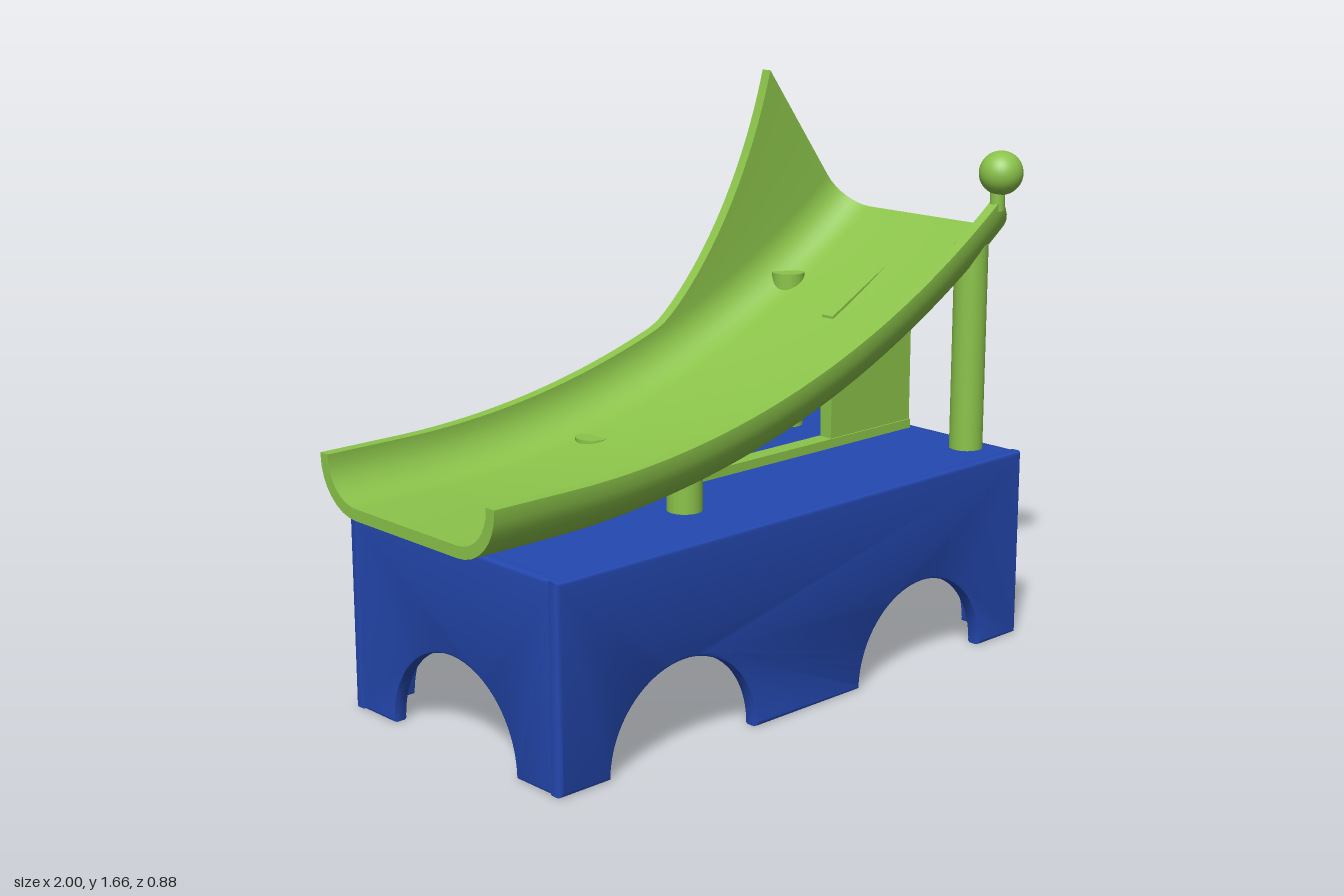
import * as THREE from 'three';
import { toCreasedNormals } from 'three/addons/utils/BufferGeometryUtils.js';

const green = new THREE.MeshStandardMaterial({ color: 0x8bc34a });
green.name = 'leaf green';
const blue = new THREE.MeshStandardMaterial({ color: 0x2448b0 });
blue.name = 'deep blue';

function add(parent, name, geometry, material, x = 0, y = 0, z = 0) {
  const mesh = new THREE.Mesh(geometry, material);
  mesh.name = name;
  mesh.position.set(x, y, z);
  parent.add(mesh);
  return mesh;
}

// Upright panel with semicircular arches cut from its lower edge
function archPanel(width, height, centres, radius, thick) {
  const b = 0.01, w = width / 2;
  const s = new THREE.Shape();
  s.moveTo(-w, 0);
  for (const c of centres) {
    s.lineTo(c - radius, 0);
    s.absarc(c, 0, radius, Math.PI, 0, true);
  }
  s.lineTo(w, 0);
  s.lineTo(w, height);
  s.lineTo(-w, height);
  s.closePath();
  const g = new THREE.ExtrudeGeometry(s, {
    depth: thick - 2 * b, bevelThickness: b, bevelSize: b, bevelOffset: -b,
    bevelSegments: 2, curveSegments: 28,
  });
  g.translate(0, 0, b - thick / 2);
  return toCreasedNormals(g, 0.5);
}

// Slide curve: straight run, then a circular arc rising toward +x
const R = 2.91, ARC_X = -0.75, ARC_Y = 0.615 + R, END = 0.645, FLARE = 0.35;

// Channel swept along the curve; the back wall flares upward near the top
function slideGeometry() {
  const half = 0.367, r = 0.15, t = 0.033, rim = 0.157, steps = 8;
  const side = (rad) => {
    const pts = [[half - r + rad, rim, 1]];
    for (let i = 0; i <= steps; i++) {
      const a = (i / steps) * Math.PI / 2;
      pts.push([half - r + rad * Math.cos(a), r - rad * Math.sin(a), 0]);
    }
    return pts;
  };
  const profile = (rad) => {
    const p = side(rad);
    return [...p, ...p.slice().reverse().map(([z, n, top]) => [-z, n, top])];
  };
  const ring = [...profile(r), ...profile(r - t).reverse()];
  const N = ring.length, M = 48;
  const pos = [], idx = [];
  for (let i = 0; i <= M; i++) {
    const a = i === 0 ? 0 : ((i - 1) / (M - 1)) * END;
    const x0 = i === 0 ? -1 : ARC_X;
    const extra = 0.425 * Math.pow(Math.max(0, (a - FLARE) / (END - FLARE)), 1.25);
    for (const [z, n, top] of ring) {
      const d = R - n - (top && z < 0 ? extra : 0);
      pos.push(x0 + d * Math.sin(a), ARC_Y - d * Math.cos(a), z);
    }
  }
  for (let i = 0; i < M; i++) {
    for (let j = 0; j < N; j++) {
      const k = (j + 1) % N, p = i * N, q = p + N;
      idx.push(p + j, p + k, q + j, p + k, q + k, q + j);
    }
  }
  // end faces
  const e = M * N;
  for (let j = 0; j < N / 2 - 1; j++) {
    const o = j, o2 = j + 1, n = N - 1 - j, n2 = N - 2 - j;
    idx.push(o, n, o2, o2, n, n2);
    idx.push(e + o, e + o2, e + n, e + o2, e + n2, e + n);
  }
  const g = new THREE.BufferGeometry();
  g.setAttribute('position', new THREE.Float32BufferAttribute(pos, 3));
  g.setIndex(idx);
  return toCreasedNormals(g, 0.6);
}

export function createModel() {
  const model = new THREE.Group();
  model.name = 'slide';

  // Hollow arched base
  const base = new THREE.Group();
  base.name = 'base';
  base.position.x = 0.04;
  model.add(base);
  const W = 1.81, D = 0.88, H = 0.57, T = 0.045;
  for (const s of [1, -1]) {
    add(base, s > 0 ? 'frontWall' : 'backWall',
      archPanel(W, H, [-0.47, 0.47], 0.262, T), blue, 0, 0, s * (D - T) / 2);
    const end = add(base, s > 0 ? 'leftWall' : 'rightWall',
      archPanel(D - 0.02, H, [0], 0.262, T), blue, s * (W - T) / 2, 0, 0);
    end.rotation.y = Math.PI / 2;
  }
  add(base, 'baseTop', new THREE.BoxGeometry(W - 0.02, T, D - 0.02), blue, 0, H - T / 2, 0);

  // Slide channel
  add(model, 'slideChannel', slideGeometry(), green);

  // Round posts: x, z, top height
  const posts = [
    ['upperFrontPost', 0.86, 0.295, 1.19], ['upperBackPost', 0.67, -0.27, 1.052],
    ['lowerFrontPost', -0.2, 0.19, 0.703], ['lowerBackPost', -0.2, -0.19, 0.703],
  ];
  for (const [name, x, z, top] of posts) {
    const h = top - H + 0.02;
    add(model, name, new THREE.CylinderGeometry(0.05, 0.05, h, 32), green, x, top - h / 2, z);
  }

  // Central support plate and the rail along the base
  const plate = new THREE.Shape();
  plate.moveTo(0.56, H - 0.01);
  plate.lineTo(0.912, H - 0.01);
  plate.lineTo(0.912, 1.16);
  plate.lineTo(0.56, 0.972);
  plate.closePath();
  const plateGeo = new THREE.ExtrudeGeometry(plate, { depth: 0.044, bevelEnabled: false });
  add(model, 'supportPlate', plateGeo, green, 0, 0, -0.022);
  add(model, 'baseRail', new THREE.BoxGeometry(1.74, 0.035, 0.054), green, 0.043, 0.58, 0);

  // Ball finial on the front rim
  add(model, 'ballStem', new THREE.CylinderGeometry(0.022, 0.022, 0.1, 20), green, 0.905, 1.34, 0.35);
  add(model, 'ball', new THREE.SphereGeometry(0.065, 32, 20), green, 0.912, 1.4, 0.355);

  return model;
}
